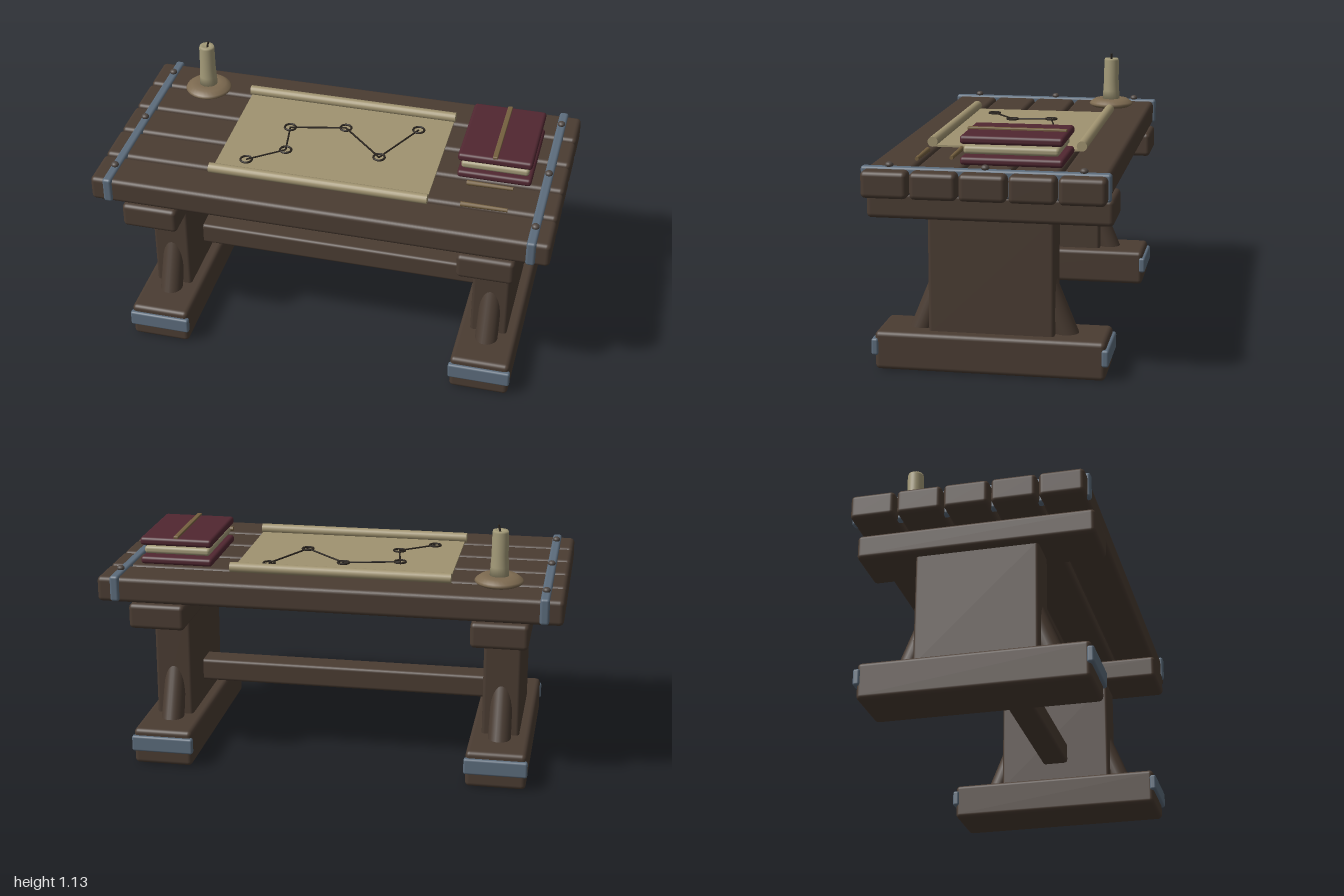
import * as THREE from 'three';
import { RoundedBoxGeometry } from 'three/addons/geometries/RoundedBoxGeometry.js';

const mat = (color) => new THREE.MeshStandardMaterial({ color });
const wood = mat(0x4a3c32), iron = mat(0x5c6c7c), rivetMetal = mat(0x4f4742);
const paper = mat(0xa09370), ink = mat(0x2a241e), leather = mat(0x512731);
const wax = mat(0xa39a78), clay = mat(0x7d6a50), trim = mat(0x75603f);

export function createModel() {
  const model = new THREE.Group();

  const add = (name, geometry, material, x = 0, y = 0, z = 0) => {
    const mesh = new THREE.Mesh(geometry, material);
    mesh.name = name;
    mesh.position.set(x, y, z);
    model.add(mesh);
    return mesh;
  };
  // Rounded box given by centre x/z and its bottom and top heights
  const block = (name, material, w, y0, y1, d, x, z, r) =>
    add(name, new RoundedBoxGeometry(w, y1 - y0, d, 3, r), material, x, (y0 + y1) / 2, z);
  // Round bar between two points
  const bar = (name, material, a, b, ra, rb = ra, sides = 16) => {
    const dir = new THREE.Vector3().subVectors(b, a);
    const mesh = add(name, new THREE.CylinderGeometry(rb, ra, dir.length(), sides), material);
    mesh.position.copy(a).addScaledVector(dir, 0.5);
    mesh.quaternion.setFromUnitVectors(new THREE.Vector3(0, 1, 0), dir.normalize());
    return mesh;
  };
  const V = (x, y, z) => new THREE.Vector3(x, y, z);

  // Tabletop planks
  for (let i = -2; i <= 2; i++) block('plank', wood, 2, 0.757, 0.868, 0.19, 0, i * 0.199, 0.02);

  // Trestles, mirrored left and right
  for (const s of [-1, 1]) {
    const x = s * 0.737;
    block('cleat', wood, 0.245, 0.645, 0.757, 1.014, x, 0, 0.02);
    block('leg', wood, 0.165, 0.15, 0.66, 0.524, x, 0, 0.015);
    block('foot', wood, 0.262, 0.003, 0.166, 0.96, x, 0, 0.02);
    for (const f of [-1, 1]) {
      block('footBand', iron, 0.275, 0.065, 0.137, 0.03, x, f * 0.479, 0.01);
      bar('brace', wood, V(x, 0.1, f * 0.327), V(x, 0.42, f * 0.2), 0.051, 0.047, 24);
    }
    // Iron strap across the planks, with rivets
    block('strap', iron, 0.04, 0.763, 0.877, 1.01, s * 0.92, 0, 0.012);
    for (const z of [-0.395, 0, 0.39]) {
      add('rivet', new THREE.SphereGeometry(0.017, 14, 10), rivetMetal, s * 0.92, 0.883, z).scale.y = 0.75;
    }
  }
  block('stretcher', wood, 1.34, 0.255, 0.356, 0.12, 0, 0, 0.015);

  // Chart sheet with rolled long edges
  add('chartSheet', new THREE.BoxGeometry(0.95, 0.008, 0.64), paper, -0.03, 0.872, 0);
  for (const f of [-1, 1]) {
    bar('chartRoll', paper, V(-0.513, 0.89, f * 0.321), V(0.45, 0.89, f * 0.321), 0.022, 0.022, 20);
  }

  // Ink rings joined by lines
  const points = [[-0.38, 0.21], [-0.232, 0.097], [-0.26, -0.08], [-0.016, -0.135], [0.18, 0.054], [0.305, -0.197]]
    .map(([x, z]) => V(x, 0.879, z));
  points.forEach((p, i) => {
    add('chartRing', new THREE.TorusGeometry(0.025, 0.005, 6, 24).rotateX(Math.PI / 2), ink, p.x, p.y, p.z);
    if (i > 0) bar('chartLine', ink, points[i - 1], p, 0.004, 0.004, 6);
  });

  // Stack of books
  block('lowerBook', leather, 0.322, 0.877, 0.911, 0.42, 0.698, -0.093, 0.014);
  block('middleBook', wax, 0.295, 0.92, 0.954, 0.39, 0.698, -0.09, 0.014);
  block('upperBook', leather, 0.322, 0.962, 0.998, 0.42, 0.698, -0.093, 0.014);
  block('bookRibbon', trim, 0.022, 0.994, 1.007, 0.41, 0.698, -0.09, 0.004);

  // Writing sticks
  for (const [z, y] of [[0.165, 0.892], [0.309, 0.883]]) {
    bar('stylus', trim, V(0.59, y, z), V(0.79, y, z), 0.011, 0.008, 12);
  }

  // Candle on a saucer
  const cx = -0.715, cz = -0.305;
  const saucer = [[0, 0.868], [0.085, 0.872], [0.1, 0.88], [0.105, 0.887], [0.1, 0.895], [0.08, 0.91], [0.05, 0.912], [0, 0.908]];
  const candle = [[0, 0.9], [0.042, 0.9], [0.039, 0.95], [0.036, 1.0], [0.035, 1.098], [0.032, 1.107], [0.018, 1.106], [0, 1.1]];
  const lathe = (pts) => new THREE.LatheGeometry(pts.map(([x, y]) => new THREE.Vector2(x, y)), 32);
  add('saucer', lathe(saucer), clay, cx, 0, cz);
  add('candle', lathe(candle), wax, cx, 0, cz);
  bar('wick', ink, V(cx, 1.09, cz), V(cx + 0.009, 1.13, cz), 0.005, 0.004, 8);

  return model;
}
